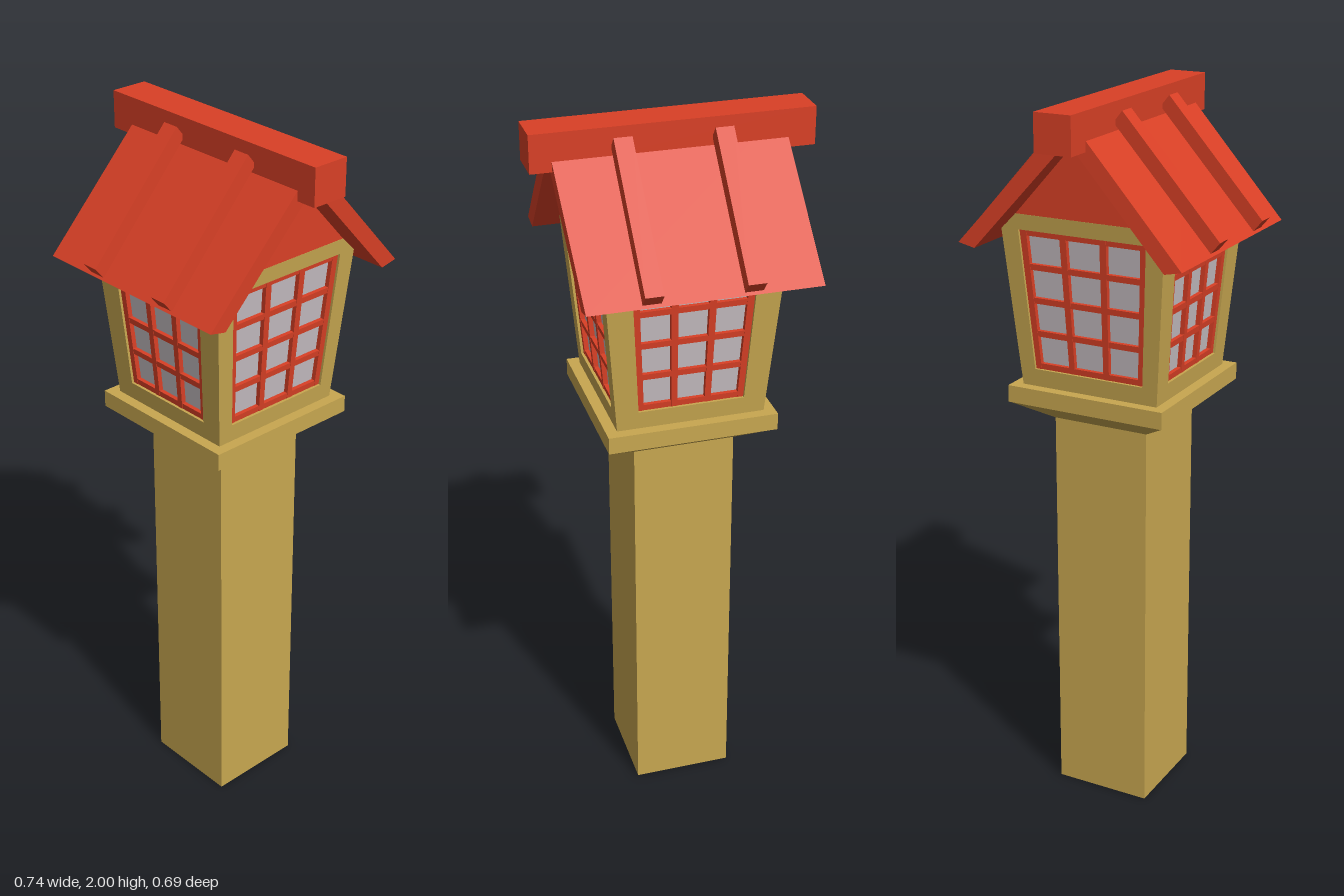
import * as THREE from 'three';

const mat = (color) => new THREE.MeshStandardMaterial({ color, flatShading: true });

export function createModel() {
  const wood = mat(0xc8a750), red = mat(0xd94026), glass = mat(0xc6bec2);
  const model = new THREE.Group();

  const add = (name, geometry, material, parent = model) => {
    const mesh = new THREE.Mesh(geometry, material);
    mesh.name = name;
    parent.add(mesh);
    return mesh;
  };
  const box = (w, h, d, x, y, z) => new THREE.BoxGeometry(w, h, d).translate(x, y, z);
  const points = (list) => list.map(([a, b]) => new THREE.Vector2(a, b));

  // Profile drawn in (z, y), extruded along x
  const alongX = (profile, width, x = 0) =>
    new THREE.ExtrudeGeometry(new THREE.Shape(points(profile)), { depth: width, bevelEnabled: false })
      .translate(0, 0, -width / 2).rotateY(-Math.PI / 2).translate(x, 0, 0);

  // Post and platform
  add('post', box(0.277, 1.14, 0.277, 0, 0.57, 0), wood);
  add('platformFlare', new THREE.CylinderGeometry(0.23 * Math.SQRT2, 0.139 * Math.SQRT2, 0.06, 4)
    .rotateY(Math.PI / 4).translate(0, 1.16, 0), wood);
  add('platform', box(0.46, 0.047, 0.46, 0, 1.2125, 0), wood);

  // The lantern box widens upward: lean and stretch wall parts to match
  const base = 1.235;
  const half = (y) => 0.2 + 0.081 * (y - base);
  const lean = (geometry) => {
    const p = geometry.attributes.position;
    for (let i = 0; i < p.count; i++) {
      const h = half(p.getY(i));
      p.setXYZ(i, p.getX(i) * h / 0.2, p.getY(i), p.getZ(i) + h);
    }
    geometry.computeVertexNormals();
    return geometry;
  };

  // One wall with its recessed lattice window
  const sill = 1.285, head = 1.668, bar = 0.016, rows = 4, columns = 3;
  const makeWall = (name, outline, w, angle) => {
    const wall = new THREE.Group();
    wall.name = name;
    const shape = new THREE.Shape(points(outline));
    shape.holes.push(new THREE.Path(points([[-w, sill], [-w, head], [w, head], [w, sill]])));
    add('wallFrame', lean(new THREE.ExtrudeGeometry(shape, { depth: 0.03, bevelEnabled: false })
      .translate(0, 0, -0.03)), wood, wall);
    add('windowPane', lean(box(2 * w, head - sill, 0.006, 0, (sill + head) / 2, -0.023)), glass, wall);
    for (let i = 0; i <= columns; i++) {
      const x = (w - bar / 2) * (2 * i / columns - 1);
      add('uprightBar', lean(box(bar, head - sill, 0.014, x, (sill + head) / 2, -0.014)), red, wall);
    }
    for (let i = 0; i <= rows; i++) {
      const y = sill + bar / 2 + (head - sill - bar) * i / rows;
      add('crossBar', lean(box(2 * w, bar, 0.012, 0, y, -0.014)), red, wall);
    }
    wall.rotation.y = angle;
    model.add(wall);
  };
  const square = [[-0.2, base], [0.2, base], [0.2, 1.675], [-0.2, 1.675]];
  const gabled = [[-0.2, base], [0.2, base], [0.2, 1.665], [0.159, 1.71], [-0.159, 1.71], [-0.2, 1.665]];
  makeWall('frontWall', square, 0.14, 0);
  makeWall('backWall', square, 0.14, Math.PI);
  makeWall('leftWall', gabled, 0.157, Math.PI / 2);
  makeWall('rightWall', gabled, 0.157, -Math.PI / 2);

  // Red gable filling under the roof
  add('gable', alongX([[-0.19, 1.709], [0.19, 1.709], [0, 1.92]], 0.476), red);

  // Roof slopes, slightly skewed along the ridge, each with two battens
  for (const s of [1, -1]) {
    const side = s > 0 ? 'front' : 'back';
    const mirrored = (list) => list.map(([z, y]) => [z * s, y]);
    const panel = alongX(mirrored([[0.32, 1.635], [0.272, 1.625], [0, 1.92], [0, 1.983]]), 0.61, -0.003);
    const p = panel.attributes.position;
    for (let i = 0; i < p.count; i++) p.setX(i, p.getX(i) + 0.037 * (p.getY(i) - 1.635));
    panel.computeVertexNormals();
    add(side + 'RoofPanel', panel, red);
    for (const x of [-0.122, 0.138])
      add(side + 'Batten', alongX(
        mirrored([[0.345, 1.675], [0.32, 1.645], [0.046, 1.947], [0.071, 1.978]]), 0.048, x), red);
  }
  add('ridgeBeam', box(0.738, 0.1, 0.104, 0, 1.95, 0), red);

  return model;
}
